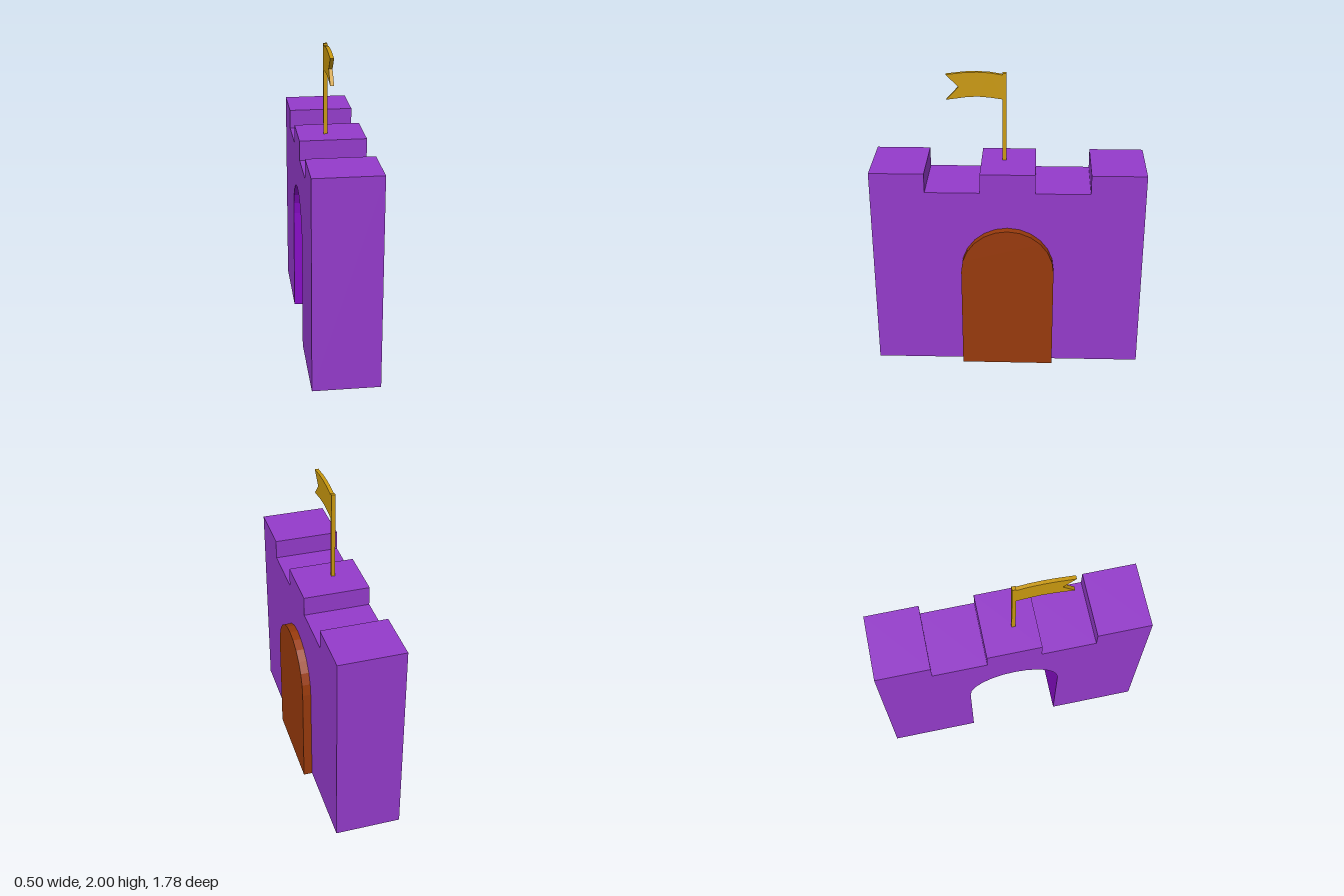
import * as THREE from 'three';

const mat = (name, color) => new THREE.MeshStandardMaterial({ name, color });

// Outline drawn in (u, y) with u = -z, extruded along x from x0 to x1
function slab(points, x0, x1) {
  const shape = new THREE.Shape(points.map(([u, y]) => new THREE.Vector2(u, y)));
  const geo = new THREE.ExtrudeGeometry(shape, { depth: x1 - x0, bevelEnabled: false });
  return geo.rotateY(Math.PI / 2).translate(x0, 0, 0);
}

// Round-headed arch, from the foot at -u over to the foot at +u
const R = 0.305, SPRING = 0.715, SEGMENTS = 12;
function archPoints() {
  const pts = [[-R, 0]];
  for (let i = 0; i <= SEGMENTS; i++) {
    const a = Math.PI * (1 - i / SEGMENTS);
    pts.push([R * Math.cos(a), SPRING + R * Math.sin(a)]);
  }
  pts.push([R, 0]);
  return pts;
}

export function createModel() {
  const group = new THREE.Group();
  group.name = 'castleGate';
  const stone = mat('purple stone', 0x943bcb);
  const lining = mat('bright purple archway', 0x880cc8);
  const wood = mat('brown door', 0x983a0c);
  const gold = mat('gold', 0xca990f);

  const add = (name, geo, material) => {
    const mesh = new THREE.Mesh(geo, material);
    mesh.name = name;
    group.add(mesh);
    return mesh;
  };

  // Gate wall with three merlons and an open archway
  const W = 0.89, TOP = 1.4, GAP = 1.27;
  const outline = [
    [-W, 0], ...archPoints(), [W, 0], [W, TOP],
    [0.535, TOP], [0.535, GAP], [0.178, GAP], [0.178, TOP],
    [-0.178, TOP], [-0.178, GAP], [-0.535, GAP], [-0.535, TOP], [-W, TOP],
  ];
  const wall = slab(outline, -0.245, 0.19);

  // Faces inside the archway take the lining colour
  wall.clearGroups();
  const p = wall.attributes.position, n = wall.attributes.normal;
  for (let i = 0; i < p.count; i += 3) {
    const y = (p.getY(i) + p.getY(i + 1) + p.getY(i + 2)) / 3;
    const inside = Math.abs(n.getX(i)) < 0.5 && Math.abs(p.getZ(i)) < R + 0.01 && y > 0.01 && y < 1.1;
    wall.addGroup(i, 3, inside ? 1 : 0);
  }

  // The wall leans very slightly
  wall.applyMatrix4(new THREE.Matrix4().set(
    1, 0.004, 0.004, -0.0028,
    0, 1, 0, 0,
    0, 0, 1, 0,
    0, 0, 0, 1));
  add('gateWall', wall, [stone, lining]);

  // Door set against the outer side of the archway
  add('door', slab(archPoints(), 0.186, 0.244), wood);

  // Flagpole
  add('flagPole', new THREE.BoxGeometry(0.025, 0.6, 0.025).translate(-0.058, 1.695, 0.028), gold);

  // Swallow-tailed flag
  const flag = [
    [-0.035, 1.982], [-0.035, 1.82], [-0.12, 1.832], [-0.2, 1.838], [-0.28, 1.832],
    [-0.4, 1.814], [-0.32, 1.9], [-0.4, 1.982], [-0.28, 1.997], [-0.2, 2], [-0.12, 1.996],
  ];
  add('flag', slab(flag, -0.07, -0.046), gold);

  return group;
}
